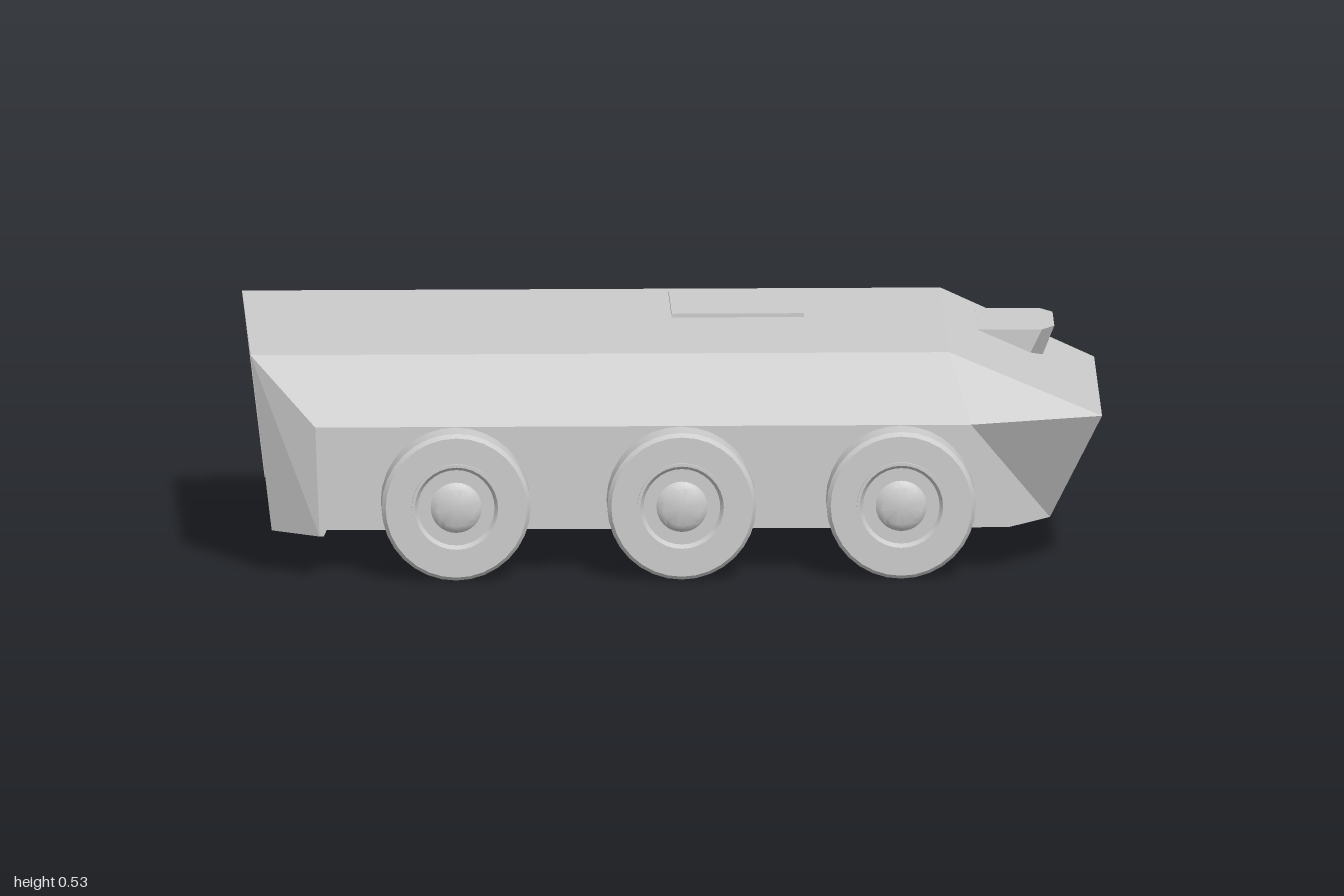
import * as THREE from 'three';
import { toCreasedNormals } from 'three/addons/utils/BufferGeometryUtils.js';

const grey = new THREE.MeshStandardMaterial({ color: 0xcccccc, side: THREE.DoubleSide });
const centre = new THREE.Vector3(0, 0.3, 0);

// flat shell from convex polygons, each turned to face away from the hull centre
function shell(name, polygons) {
  const pos = [];
  for (const poly of polygons) {
    const p = poly.map((c) => new THREE.Vector3(...c));
    for (let i = 1; i < p.length - 1; i++) {
      const t = [p[0], p[i], p[i + 1]];
      const tri = new THREE.Triangle(...t);
      const n = tri.getNormal(new THREE.Vector3());
      const m = tri.getMidpoint(new THREE.Vector3()).sub(centre);
      if (n.dot(m) < 0) t.reverse();
      t.forEach((v) => pos.push(v.x, v.y, v.z));
    }
  }
  const g = new THREE.BufferGeometry();
  g.setAttribute('position', new THREE.Float32BufferAttribute(pos, 3));
  g.computeVertexNormals();
  const mesh = new THREE.Mesh(g, grey);
  mesh.name = name;
  return mesh;
}

const flip = (p) => [p[0], p[1], -p[2]];
const bothSides = (polys) => polys.concat(polys.map((q) => q.map(flip)));
// face spanning the full width between two edge points
const across = (a, b) => [a, b, flip(b), flip(a)];

const TOP = 0.525, BELT = 0.365, LOW = 0.105, WIDE = 0.493, INNER = 0.41;

// wheel arch outline from rear to nose
const arch = [
  [-0.83, LOW], [-0.71, BELT], [-0.33, BELT], [-0.28, 0.23], [-0.2, 0.23], [-0.16, BELT],
  [0.18, BELT], [0.24, 0.23], [0.31, 0.23], [0.36, BELT], [0.69, BELT], [0.78, LOW],
];

function hull() {
  const g = new THREE.Group();
  g.name = 'hull';
  const roofRear = [-1, TOP, 0.42], roofFront = [0.64, TOP, 0.42];
  const beltRear = [-0.85, BELT, WIDE], beltFront = [0.69, BELT, WIDE];
  const nose = [1, BELT, 0.385], noseLow = [0.88, LOW, 0.28], cheekLow = [0.78, LOW, INNER];
  const rearSide = [-0.84, LOW, WIDE], rearLow = [-0.95, LOW, INNER];

  g.add(shell('roof', [across(roofRear, roofFront)]));
  g.add(shell('nosePlates', [across(roofFront, nose), across(nose, noseLow)]));
  g.add(shell('sidePlates', bothSides([
    [roofRear, beltRear, beltFront, roofFront],
    [roofFront, beltFront, nose],
    [beltFront, cheekLow, noseLow, nose],
    [roofRear, beltRear, rearSide, rearLow],
  ])));

  // skirts between the wheels and behind the last one
  const at = (i, z) => [arch[i][0], arch[i][1], z];
  g.add(shell('skirts', bothSides([
    [beltRear, at(1, WIDE), at(0, WIDE), rearSide],
    [2, 3, 4, 5].map((i) => at(i, WIDE)),
    [6, 7, 8, 9].map((i) => at(i, WIDE)),
    [rearSide, at(0, WIDE), at(0, INNER), rearLow],
  ])));

  // wheel wells: returns along the arch outline plus the inner wall
  const returns = [];
  for (let i = 0; i < arch.length - 1; i++) {
    const end = i === arch.length - 2 ? INNER : WIDE;
    returns.push([at(i, WIDE), at(i + 1, end), at(i + 1, INNER), at(i, INNER)]);
  }
  g.add(shell('wheelWells', bothSides(returns)));
  const wall = new THREE.ShapeGeometry(new THREE.Shape(arch.map((p) => new THREE.Vector2(...p))));
  for (const s of [1, -1]) {
    const m = new THREE.Mesh(wall, grey);
    m.name = 'innerWall';
    m.position.z = s * INNER;
    if (s < 0) {
      m.geometry = wall.clone().scale(-1, 1, 1).rotateY(Math.PI).scale(1, 1, -1);
      m.geometry = wall.clone();
      m.geometry.setIndex([...wall.index.array].reverse());
      m.geometry.computeVertexNormals();
    }
    g.add(m);
  }

  // rear end: corner posts around a recessed door
  const rear = (y, z, inset = 0) => [-0.95 - 0.05 * (y - LOW) / (TOP - LOW) + inset, y, z];
  const doorTop = 0.49, doorHalf = 0.28, depth = 0.07;
  const a = rear(LOW, doorHalf), b = rear(doorTop, doorHalf);
  const c = rear(LOW, doorHalf, depth), d = rear(doorTop, doorHalf, depth);
  g.add(shell('rearFrame', [
    across(roofRear, b),
    across(b, d),
    ...bothSides([[roofRear, b, a, rearLow], [a, b, d, c], [rearLow, a, c, at(0, INNER)]]),
  ]));
  g.add(shell('rearDoor', [across(c, d)]));
  return g;
}

// tyre, rim and axle stub; axis along +z, outer face outward
function wheel() {
  const g = new THREE.Group();
  g.name = 'wheel';
  const lathe = (name, pts, segments = 32) => {
    const geo = new THREE.LatheGeometry(pts.map((p) => new THREE.Vector2(...p)), segments);
    const m = new THREE.Mesh(toCreasedNormals(geo.rotateX(Math.PI / 2), 0.5), grey);
    m.name = name;
    g.add(m);
  };
  lathe('tyre', [[0, 0.435], [0.167, 0.435], [0.175, 0.445], [0.175, 0.528], [0.166, 0.54], [0.1, 0.54]]);
  lathe('rim', [[0.105, 0.53], [0.105, 0.548], [0.098, 0.548], [0.09, 0.535], [0.06, 0.535], [0.055, 0.54],
    [0.045, 0.546], [0, 0.548]]);
  lathe('axleStub', [[0, 0.35], [0.086, 0.35], [0.086, 0.436]], 24);
  return g;
}

// driver's visor on the nose slope: outline lofted to a smaller base
function visor() {
  const outline = (front, y, chamferY) => [
    [0.72, chamferY, -0.34], [front - 0.03, chamferY, -0.34], [front, y, -0.29],
    [front, y, -0.11], [front - 0.03, chamferY, -0.06], [0.72, chamferY, -0.06],
  ];
  const top = outline(0.9, 0.49, 0.49), base = outline(0.87, 0.415, 0.43);
  const geo = new THREE.BufferGeometry();
  geo.setAttribute('position', new THREE.Float32BufferAttribute([...top, ...base].flat(), 3));
  const idx = [];
  for (let i = 0; i < 6; i++) {
    const j = (i + 1) % 6;
    idx.push(i, j, 6 + i, j, 6 + j, 6 + i);
    if (i > 0 && i < 5) idx.push(0, j, i, 6, 6 + i, 6 + j);
  }
  for (let i = 0; i < idx.length; i += 3) [idx[i + 1], idx[i + 2]] = [idx[i + 2], idx[i + 1]];
  // keep the lid facing up and the sides facing out
  geo.setIndex(idx);
  const flat = geo.toNonIndexed();
  const p = flat.attributes.position, mid = new THREE.Vector3(0.81, 0.455, -0.2);
  const v = [0, 1, 2].map(() => new THREE.Vector3()), n = new THREE.Vector3();
  for (let i = 0; i < p.count; i += 3) {
    v.forEach((q, k) => q.fromBufferAttribute(p, i + k));
    THREE.Triangle.getNormal(...v, n);
    if (n.dot(v[0].clone().sub(mid)) < 0) {
      p.setXYZ(i + 1, ...v[2]);
      p.setXYZ(i + 2, ...v[1]);
    }
  }
  flat.computeVertexNormals();
  const m = new THREE.Mesh(flat, grey);
  m.name = 'driverVisor';
  return m;
}

export function createModel() {
  const model = new THREE.Group();
  model.name = 'armouredCarrier';
  model.add(hull(), visor());

  const hatch = new THREE.Mesh(new THREE.BoxGeometry(0.31, 0.02, 0.31), grey);
  hatch.name = 'roofHatch';
  hatch.position.set(0.155, 0.524, -0.2);
  model.add(hatch);

  // three wheels on each side
  for (const x of [-0.52, 0.01, 0.525]) {
    for (const turn of [0, Math.PI]) {
      const w = wheel();
      w.position.set(x, 0.18, 0);
      w.rotation.y = turn;
      model.add(w);
    }
  }
  return model;
}
